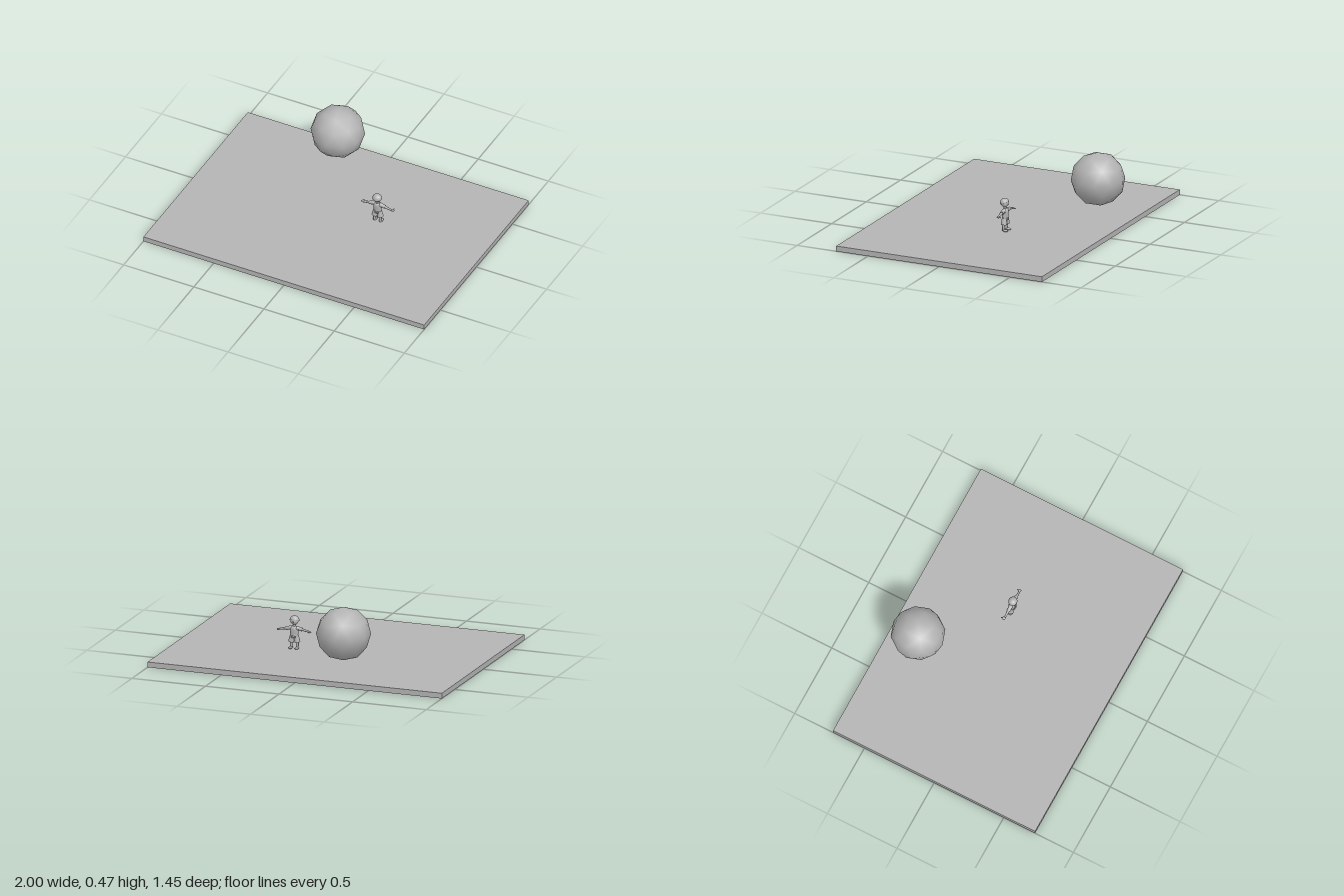
import * as THREE from 'three';

export function createModel() {
  const gray = new THREE.MeshStandardMaterial({ color: 0xb4b4b4 });
  gray.name = 'plain gray';
  const facetedGray = gray;
  const root = new THREE.Group();

  const add = (parent, name, geometry, position = [0, 0, 0], scale = [1, 1, 1]) => {
    const mesh = new THREE.Mesh(geometry, facetedGray);
    mesh.name = name;
    mesh.position.set(...position);
    mesh.scale.set(...scale);
    parent.add(mesh);
    return mesh;
  };
  const ball = (parent, name, position, scale) =>
    add(parent, name, new THREE.SphereGeometry(1, 16, 12), position, scale);

  // Tapered limb between two points
  const limb = (parent, name, a, b, ra, rb) => {
    const from = new THREE.Vector3(...a), to = new THREE.Vector3(...b);
    const dir = to.clone().sub(from);
    const mesh = add(parent, name, new THREE.CylinderGeometry(rb, ra, dir.length(), 12));
    mesh.position.copy(from).add(to).multiplyScalar(0.5);
    mesh.quaternion.setFromUnitVectors(new THREE.Vector3(0, 1, 0), dir.normalize());
    return mesh;
  };

  // Ground slab
  add(root, 'groundSlab', new THREE.BoxGeometry(2, 0.035, 1.45), [0, 0.0175, 0]);

  // Faceted boulder: icosphere with one vertex straight up
  const rock = new THREE.IcosahedronGeometry(0.175, 1);
  rock.rotateZ(-Math.atan(2 / (1 + Math.sqrt(5))));
  add(root, 'boulder', rock, [-0.25, 0.295, -0.513]);

  // Standing child, arms out, turned towards the boulder
  const child = new THREE.Group();
  child.name = 'child';
  child.position.set(0.245, 0.035, -0.1);
  child.rotation.y = Math.PI;
  root.add(child);

  // Head, face and hair cap
  ball(child, 'head', [0, 0.182, -0.003], [0.026, 0.025, 0.024]);
  const hair = new THREE.SphereGeometry(1, 18, 8, 0, Math.PI * 2, 0, Math.PI * 0.56);
  const cap = add(child, 'hair', hair, [0, 0.188, -0.005], [0.031, 0.028, 0.028]);
  cap.rotation.x = -0.3;
  add(child, 'hairBrim', new THREE.TorusGeometry(0.028, 0.0035, 8, 20).rotateX(Math.PI / 2 - 0.3),
    [0, 0.187, -0.005], [1, 1, 0.9]);
  ball(child, 'nose', [0, 0.179, 0.021], [0.004, 0.004, 0.004]);
  limb(child, 'neck', [0, 0.14, -0.002], [0, 0.165, -0.002], 0.011, 0.01);

  // Shirt with a belt
  const shirt = [[0.0, 0.15], [0.014, 0.149], [0.026, 0.142], [0.03, 0.13],
    [0.028, 0.11], [0.026, 0.09], [0.029, 0.075], [0.0, 0.072]]
    .reverse().map(([x, y]) => new THREE.Vector2(x, y));
  add(child, 'shirt', new THREE.LatheGeometry(shirt, 20), [0, 0, 0], [1, 1, 0.68]);
  add(child, 'belt', new THREE.TorusGeometry(0.0265, 0.003, 8, 20).rotateX(Math.PI / 2),
    [0, 0.086, 0], [1, 1, 0.7]);

  for (const [side, s] of [['left', 1], ['right', -1]]) {
    // Wide shorts, leg and shoe
    limb(child, side + 'Shorts', [s * 0.021, 0.045, 0], [s * 0.014, 0.088, 0], 0.0195, 0.015);
    limb(child, side + 'Leg', [s * 0.02, 0.006, -0.002], [s * 0.02, 0.06, -0.002], 0.009, 0.01);
    ball(child, side + 'Shoe', [s * 0.021, 0.007, 0.01], [0.012, 0.008, 0.02]);

    // Sleeve, arm and hand
    ball(child, side + 'Shoulder', [s * 0.024, 0.136, 0], [0.015, 0.014, 0.015]);
    limb(child, side + 'Sleeve', [s * 0.024, 0.137, 0], [s * 0.055, 0.13, 0], 0.012, 0.0125);
    limb(child, side + 'Arm', [s * 0.05, 0.131, 0], [s * 0.1, 0.121, 0], 0.0085, 0.006);
    ball(child, side + 'Hand', [s * 0.105, 0.12, 0.003], [0.012, 0.006, 0.011]);
    limb(child, side + 'Thumb', [s * 0.103, 0.12, 0.008], [s * 0.108, 0.119, 0.021], 0.004, 0.003);
  }

  return root;
}
